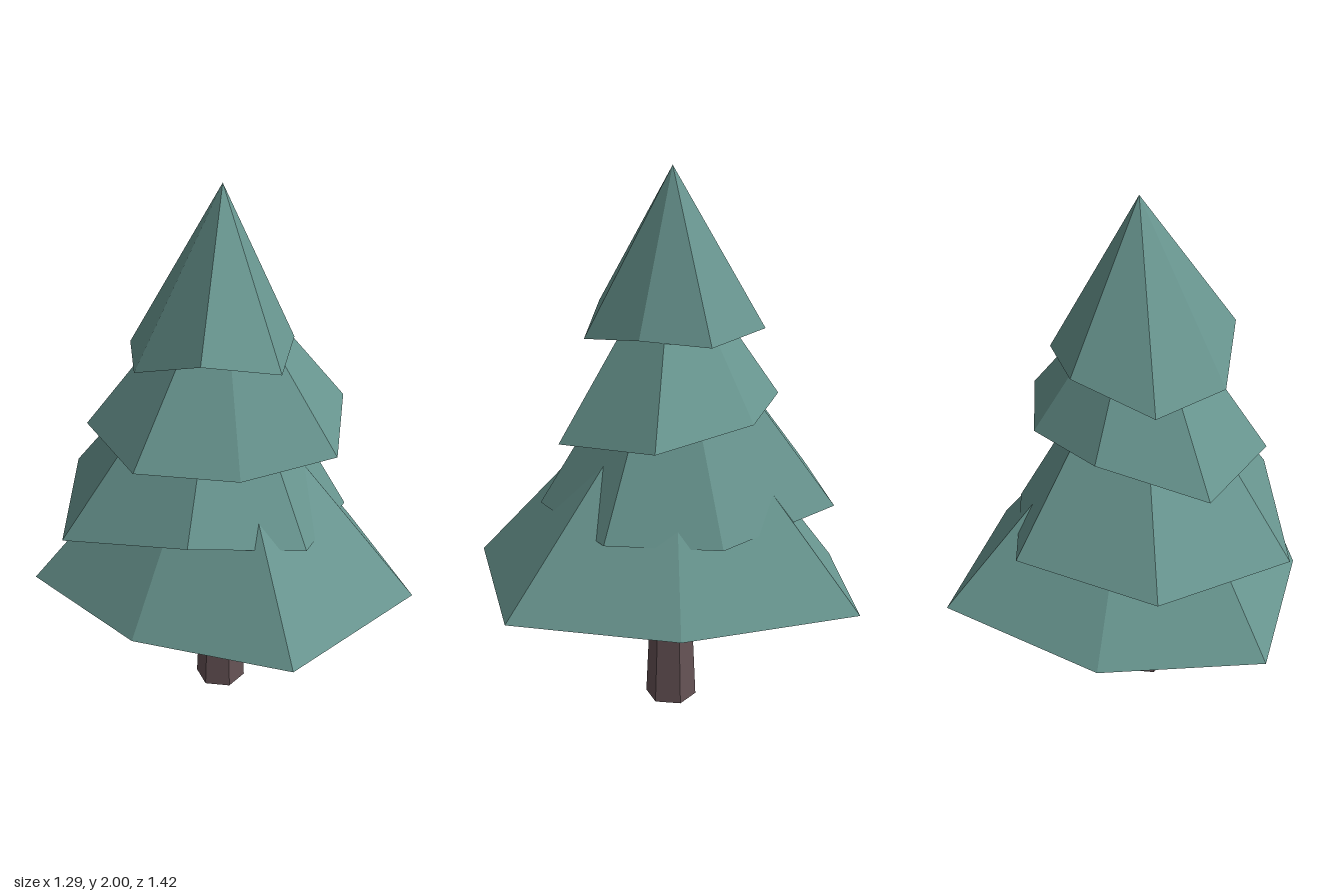
import * as THREE from 'three';

const AXIS_X = 0.04, AXIS_Z = -0.03;

// Each tier: peak height and a ragged seven-cornered rim of [x, y, z].
const TIERS = [
  { name: 'bottomFoliage', peak: 1.35, rim: [
    [-0.645, 0.51, -0.22], [-0.205, 0.515, -0.61], [0.405, 0.565, -0.715], [0.645, 0.55, -0.14],
    [0.595, 0.545, 0.46], [0, 0.547, 0.705], [-0.435, 0.52, 0.31]] },
  { name: 'lowerMiddleFoliage', peak: 1.6, rim: [
    [-0.585, 0.79, 0.005], [-0.38, 0.83, -0.495], [0.135, 0.85, -0.615], [0.44, 0.79, -0.255],
    [0.465, 0.795, 0.145], [0.17, 0.82, 0.43], [-0.245, 0.885, 0.365]] },
  { name: 'upperMiddleFoliage', peak: 1.75, rim: [
    [-0.405, 1.11, -0.24], [-0.05, 1.2, -0.4], [0.275, 1.18, -0.335], [0.535, 1.15, -0.04],
    [0.33, 1.1, 0.32], [-0.04, 1.085, 0.335], [-0.365, 1.1, 0.17]] },
  { name: 'topFoliage', peak: 2, rim: [
    [-0.295, 1.39, 0], [-0.215, 1.385, -0.285], [0.08, 1.465, -0.355], [0.305, 1.445, -0.195],
    [0.28, 1.455, 0.05], [0.135, 1.42, 0.265], [-0.155, 1.495, 0.265]] },
];

// Faceted cone with an uneven rim, closed underneath.
function tierGeometry({ peak, rim }) {
  const apex = [AXIS_X, peak, AXIS_Z];
  const meanY = rim.reduce((sum, p) => sum + p[1], 0) / rim.length;
  const centre = [AXIS_X, meanY, AXIS_Z];
  const positions = [];
  rim.forEach((a, i) => {
    const b = rim[(i + 1) % rim.length];
    positions.push(...apex, ...b, ...a, ...centre, ...a, ...b);
  });
  const geometry = new THREE.BufferGeometry();
  geometry.setAttribute('position', new THREE.Float32BufferAttribute(positions, 3));
  geometry.computeVertexNormals();
  return geometry;
}

export function createModel() {
  const tree = new THREE.Group();
  tree.name = 'pineTree';

  const needles = new THREE.MeshStandardMaterial({ color: 0x68958f, flatShading: true });
  needles.name = 'needleGreen';
  const bark = new THREE.MeshStandardMaterial({ color: 0x665356, flatShading: true });
  bark.name = 'barkBrown';

  // Tapered six-sided trunk
  const trunk = new THREE.Mesh(new THREE.CylinderGeometry(0.068, 0.096, 0.6, 6), bark);
  trunk.name = 'trunk';
  trunk.position.set(0.035, 0.3, -0.025);
  tree.add(trunk);

  // Overlapping foliage tiers
  for (const tier of TIERS) {
    const mesh = new THREE.Mesh(tierGeometry(tier), needles);
    mesh.name = tier.name;
    tree.add(mesh);
  }
  return tree;
}
